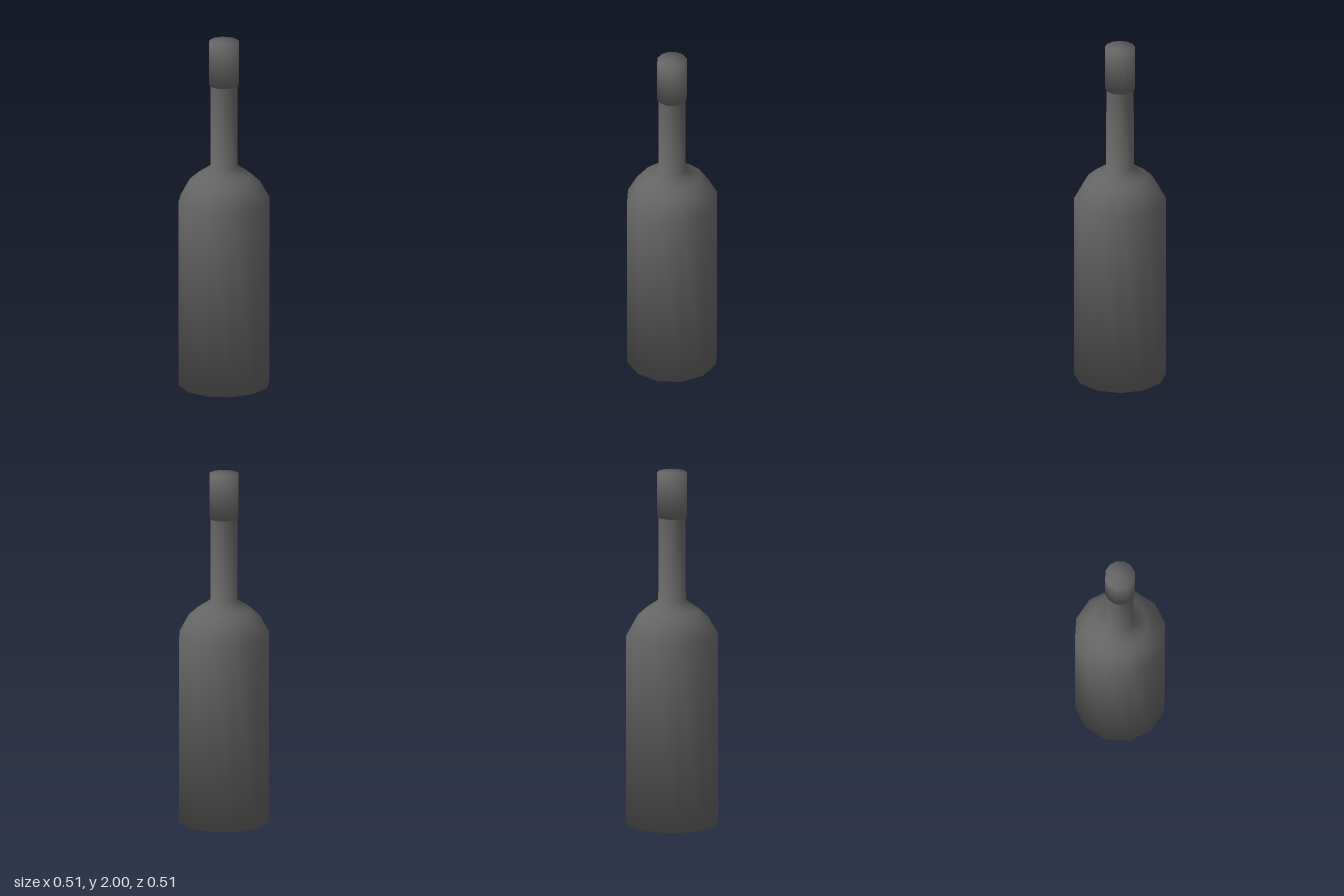
import * as THREE from 'three';

const SIDES = 12;

// Smooth twelve-sided solid of revolution from [radius, height] pairs, bottom to top
function turned(name, profile, materials) {
  const points = profile.map(([r, y]) => new THREE.Vector2(r, y));
  const count = points.length;
  const geometry = new THREE.LatheGeometry(points, SIDES);

  // Soft normals: every profile corner averages its two neighbouring slopes equally
  const slopes = points.slice(1).map((p, j) => {
    const d = p.clone().sub(points[j]).normalize();
    return new THREE.Vector2(d.y, -d.x);
  });
  const normals = geometry.attributes.normal;
  for (let i = 0; i <= SIDES; i++) {
    const angle = (i / SIDES) * Math.PI * 2;
    for (let j = 0; j < count; j++) {
      const before = slopes[Math.max(j - 1, 0)];
      const after = slopes[Math.min(j, count - 2)];
      const n = before.clone().add(after).normalize();
      normals.setXYZ(i * count + j, n.x * Math.sin(angle), n.y, n.x * Math.cos(angle));
    }
  }

  // The first ring of each side is the underside, the rest is the wall
  const strip = (count - 1) * 6;
  for (let i = 0; i < SIDES; i++) {
    geometry.addGroup(i * strip, 6, 1);
    geometry.addGroup(i * strip + 6, strip - 6, 0);
  }

  const mesh = new THREE.Mesh(geometry, materials);
  mesh.name = name;
  return mesh;
}

export function createModel() {
  const group = new THREE.Group();
  group.name = 'bottle';

  const greyGlass = new THREE.MeshStandardMaterial({ color: 0x646464 });
  greyGlass.name = 'grey glass';
  const blackBase = new THREE.MeshStandardMaterial({ color: 0x0c0c0c });
  blackBase.name = 'black base';

  // Base, straight body, rounded shoulder and neck
  group.add(turned('bottleBody', [
    [0, 0], [0.256, 0],
    [0.256, 1.075], [0.203, 1.172], [0.15, 1.22], [0.077, 1.27],
    [0.076, 1.76],
  ], [greyGlass, blackBase]));

  // Slightly wider sleeve closing the mouth
  group.add(turned('neckCap', [
    [0.074, 1.748], [0.084, 1.748], [0.084, 2], [0, 2],
  ], [greyGlass, greyGlass]));

  return group;
}
